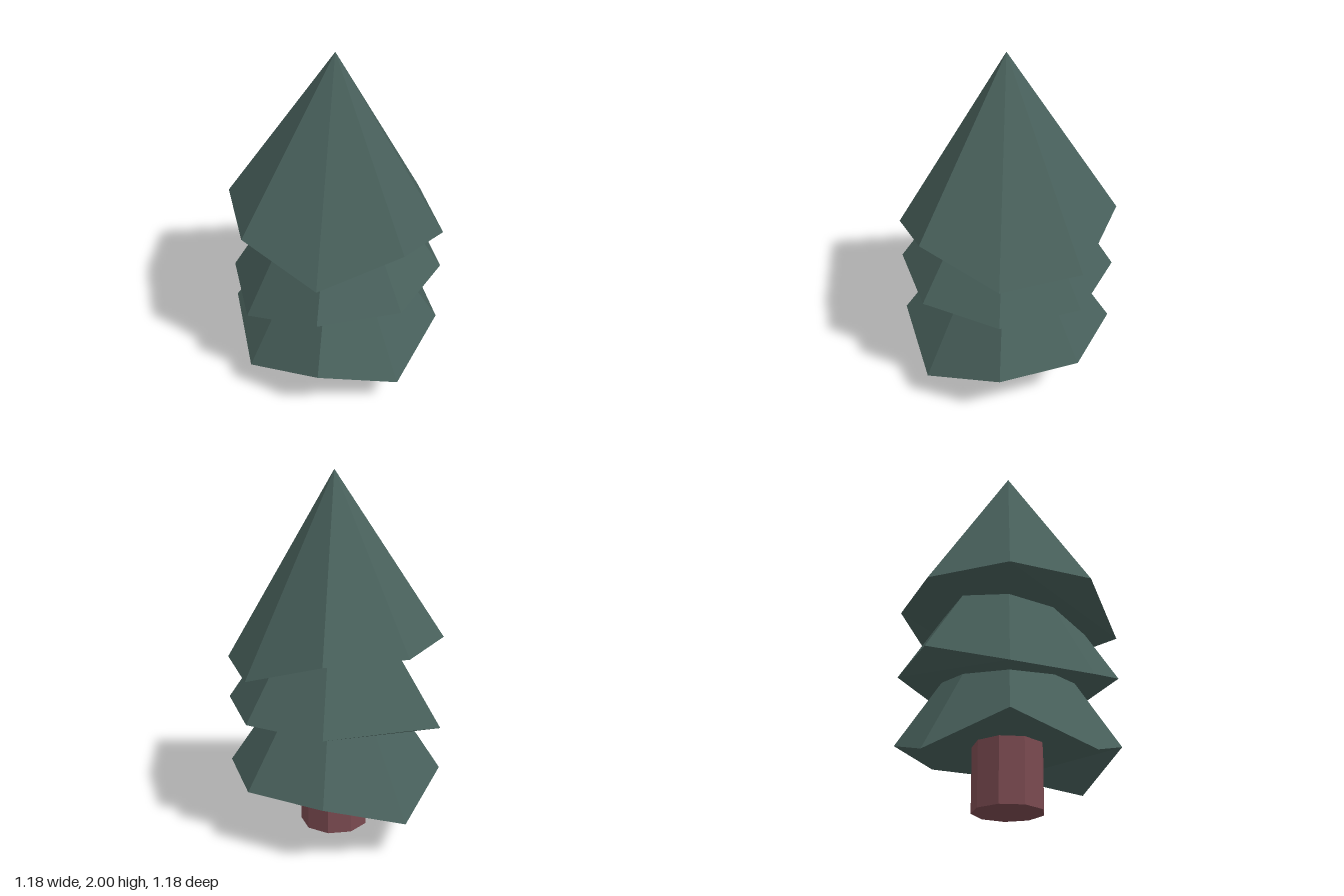
import * as THREE from 'three';

const RADIUS = 0.592;
const DROOP = 0.147;

const needles = new THREE.MeshStandardMaterial({ color: 0x48605b, flatShading: true });
needles.name = 'needle green';
const bark = new THREE.MeshStandardMaterial({ color: 0x7a4a50, flatShading: true });
bark.name = 'bark red brown';

// Eight-sided cone whose rim corners droop where listed; corner 0 faces +z, counting towards +x
function tierGeometry(apexY, rimY, drooping) {
  const apex = new THREE.Vector3(0, apexY, 0);
  const rim = [];
  for (let i = 0; i < 8; i++) {
    const a = (i * Math.PI) / 4;
    const y = rimY - (drooping.includes(i) ? DROOP : 0);
    rim.push(new THREE.Vector3(RADIUS * Math.sin(a), y, RADIUS * Math.cos(a)));
  }
  const points = [];
  // sloping sides
  for (let i = 0; i < 8; i++) points.push(apex, rim[i], rim[(i + 1) % 8]);
  // underside: four corner flaps around a square
  for (let i = 0; i < 8; i += 2) points.push(rim[i + 1], rim[i], rim[(i + 7) % 8]);
  points.push(rim[7], rim[5], rim[3], rim[7], rim[3], rim[1]);

  const geometry = new THREE.BufferGeometry().setFromPoints(points);
  geometry.computeVertexNormals();
  return geometry;
}

export function createModel() {
  const tree = new THREE.Group();
  tree.name = 'pineTree';

  // Trunk
  const trunk = new THREE.Mesh(new THREE.CylinderGeometry(0.19, 0.19, 0.6, 9), bark);
  trunk.name = 'trunk';
  trunk.position.y = 0.3;
  trunk.rotation.y = Math.PI;
  tree.add(trunk);

  // Foliage tiers, bottom to top
  const tiers = [
    ['lowerFoliage', 1.234, 0.348, [0, 2, 6]],
    ['middleFoliage', 1.617, 0.731, [0, 7]],
    ['upperFoliage', 2, 1.114, [1, 3, 4]],
  ];
  for (const [name, apexY, rimY, drooping] of tiers) {
    const tier = new THREE.Mesh(tierGeometry(apexY, rimY, drooping), needles);
    tier.name = name;
    tree.add(tier);
  }
  return tree;
}
